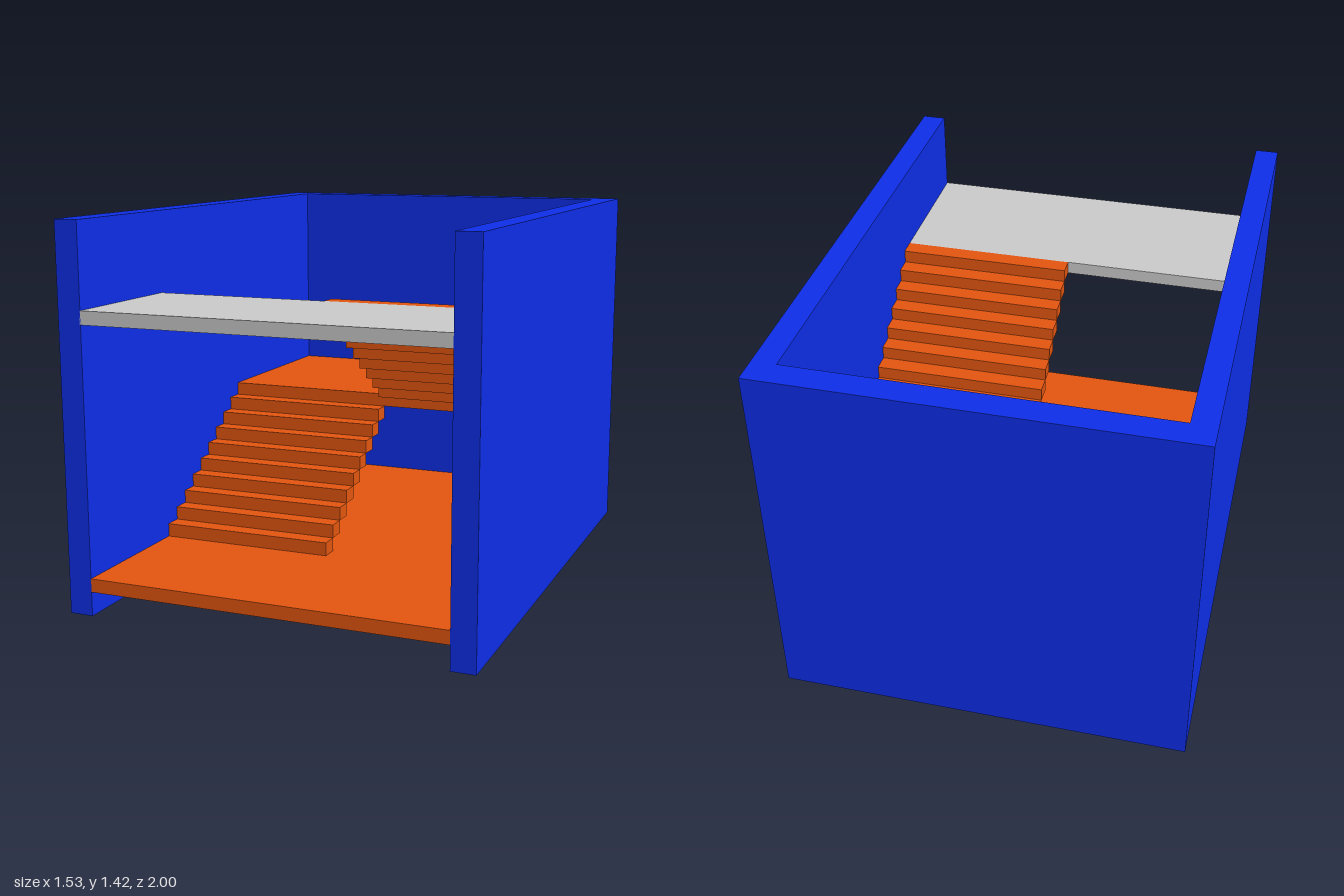
import * as THREE from 'three';

export function createModel() {
  const group = new THREE.Group();
  const blue = new THREE.MeshStandardMaterial({ color: 0x0e2eea });
  const orange = new THREE.MeshStandardMaterial({ color: 0xe55610 });
  const grey = new THREE.MeshStandardMaterial({ color: 0xcccccc });

  // Box given by its min and max corners
  function box(name, material, [x0, y0, z0], [x1, y1, z1], parent = group) {
    const mesh = new THREE.Mesh(new THREE.BoxGeometry(x1 - x0, y1 - y0, z1 - z0), material);
    mesh.position.set((x0 + x1) / 2, (y0 + y1) / 2, (z0 + z1) / 2);
    mesh.name = name;
    parent.add(mesh);
  }

  const W = 0.765, IN = 0.675, H = 1.417, BACK = -0.9;
  const RISE = 0.0508, STEPS = 9, Z_BACK = -0.16, Z_FRONT = 0.45;
  const FLOOR = 0.14, LANDING = FLOOR + RISE * (STEPS + 1), UPPER = LANDING + RISE * STEPS;

  // U-shaped wall around the stairwell, open at the front
  const plan = new THREE.Shape([
    [-W, -1], [-IN, -1], [-IN, -BACK], [IN, -BACK], [IN, -1], [W, -1], [W, 1], [-W, 1],
  ].map(([x, y]) => new THREE.Vector2(x, y)));
  const wallGeometry = new THREE.ExtrudeGeometry(plan, { depth: H, bevelEnabled: false });
  wallGeometry.rotateX(-Math.PI / 2);
  const walls = new THREE.Mesh(wallGeometry, blue);
  walls.name = 'walls';
  group.add(walls);

  // Floors
  box('groundFloor', orange, [-IN, FLOOR - 0.05, BACK], [IN, FLOOR, 1]);
  box('landing', orange, [-IN, LANDING - RISE, BACK], [IN, LANDING, Z_BACK]);
  box('upperFloor', grey, [-IN - 0.005, UPPER - 0.05, Z_FRONT], [IN, UPPER, 1]);

  // Flight of block steps climbing from zStart to zEnd
  function flight(name, x0, x1, yStart, zStart, zEnd) {
    const stairs = new THREE.Group();
    stairs.name = name;
    const run = (zEnd - zStart) / STEPS;
    for (let i = 0; i < STEPS; i++) {
      const a = zStart + run * i, b = a + run, y = yStart + RISE * i;
      box('step', orange, [x0, y, Math.min(a, b)], [x1, y + RISE, Math.max(a, b)], stairs);
    }
    group.add(stairs);
  }
  flight('lowerFlight', -IN, 0, FLOOR, Z_FRONT, Z_BACK);
  flight('upperFlight', 0, IN, LANDING, Z_BACK, Z_FRONT);

  return group;
}
